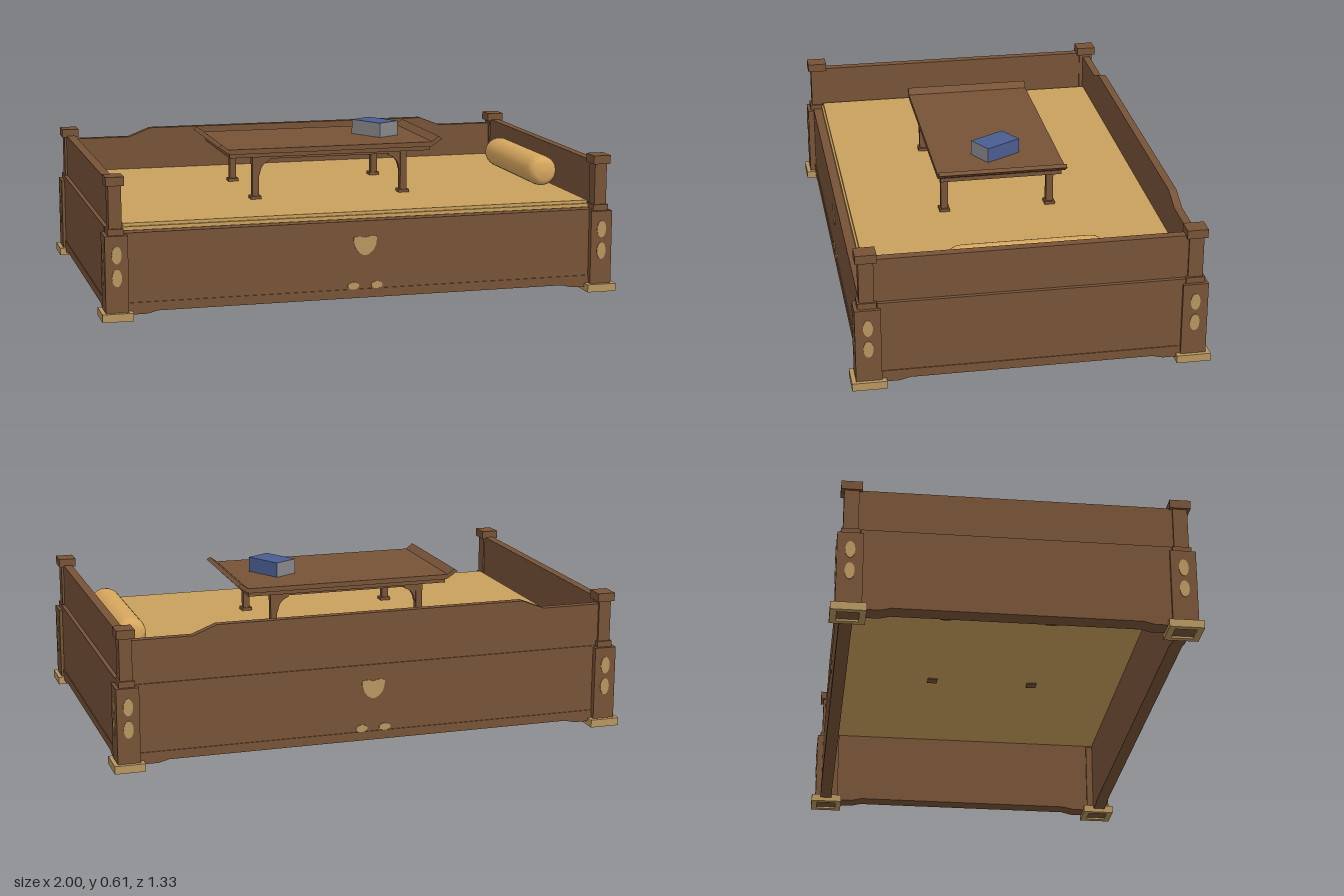
import * as THREE from 'three';

const mat = (name, color, double) => {
  const m = new THREE.MeshStandardMaterial({ color });
  m.name = name;
  if (double) m.side = THREE.DoubleSide;
  return m;
};

export function createModel() {
  const wood = mat('walnut wood', 0x775337);
  const brass = mat('pale brass', 0xb8965f);
  const cloth = mat('mat cloth', 0xc8a05c);
  const silk = mat('bolster silk', 0xd8a85f);
  const blue = mat('book cover blue', 0x4a5d90);
  const paper = mat('page grey', 0x88888b);

  const root = new THREE.Group();
  root.name = 'daybed';

  const add = (parent, name, geo, material) => {
    const m = new THREE.Mesh(geo, material);
    m.name = name;
    parent.add(m);
    return m;
  };
  // Box given by its min and max corners
  const box = (parent, name, material, x0, x1, y0, y1, z0, z1) => {
    const m = add(parent, name, new THREE.BoxGeometry(x1 - x0, y1 - y0, z1 - z0), material);
    m.position.set((x0 + x1) / 2, (y0 + y1) / 2, (z0 + z1) / 2);
    return m;
  };
  const poly = (pts) => new THREE.Shape(pts.map((p) => new THREE.Vector2(p[0], p[1])));
  const extrude = (shape, depth) => new THREE.ExtrudeGeometry(shape, { depth, bevelEnabled: false, curveSegments: 10 })
    .translate(0, 0, -depth / 2);
  // Thin oval inlay facing +z
  const ovalGeo = () => {
    const s = new THREE.Shape();
    s.absellipse(0, 0, 0.018, 0.033, 0, Math.PI * 2);
    return extrude(s, 0.006);
  };

  // Corner posts with brass shoes, caps and oval inlays
  for (const sx of [-1, 1]) for (const sz of [-1, 1]) {
    const post = new THREE.Group();
    post.name = 'cornerPost';
    post.position.set(sx * 0.9425, 0, sz * 0.602);
    root.add(post);

    const w = 0.0575, d = 0.064, hw = 0.036, hd = 0.04;
    const shoe = poly([[-w, -d], [w, -d], [w, d], [-w, d]]);
    shoe.holes.push(new THREE.Path([[-hw, -hd], [-hw, hd], [hw, hd], [hw, -hd]].map((p) => new THREE.Vector2(...p))));
    const shoeMesh = add(post, 'brassShoe', extrude(shoe, 0.03), brass);
    shoeMesh.rotation.x = -Math.PI / 2;
    shoeMesh.position.y = 0.015;

    box(post, 'lowerPost', wood, -0.0425, 0.0425, 0.008, 0.315, -0.0475, 0.0475);
    box(post, 'postCollar', wood, -0.03, 0.03, 0.315, 0.338, -0.035, 0.035);
    box(post, 'upperPost', wood, -0.024, 0.024, 0.338, 0.497, -0.0275, 0.0275);
    box(post, 'postCap', wood, -0.034, 0.034, 0.497, 0.53, -0.039, 0.039);

    for (const y of [0.245, 0.16]) {
      const a = add(post, 'endInlay', ovalGeo(), brass);
      a.position.set(0, y, sz * 0.0475);
      const b = add(post, 'sideInlay', ovalGeo(), brass);
      b.rotation.y = Math.PI / 2;
      b.position.set(sx * 0.0425, y, 0);
    }
  }

  // Shaped skirt strip that drops at its ends
  const skirt = (half, depth) => extrude(poly([
    [-half, 0.016], [-half + 0.07, 0.016], [-half + 0.11, 0.026], [half - 0.11, 0.026],
    [half - 0.07, 0.016], [half, 0.016], [half, 0.06], [-half, 0.06],
  ]), depth);

  // Shield inlay for the long rails
  const shield = new THREE.Shape();
  shield.moveTo(-0.045, 0.258);
  shield.quadraticCurveTo(-0.02, 0.265, 0, 0.256);
  shield.quadraticCurveTo(0.02, 0.265, 0.045, 0.258);
  shield.quadraticCurveTo(0.046, 0.2, 0, 0.188);
  shield.quadraticCurveTo(-0.046, 0.2, -0.045, 0.258);

  for (const s of [-1, 1]) {
    // Long rails
    box(root, 'longRail', wood, -0.91, 0.91, 0.055, 0.32, s * 0.603 - 0.022, s * 0.603 + 0.022);
    add(root, 'longSkirt', skirt(0.9, 0.048), wood).position.z = s * 0.605;
    add(root, 'shieldInlay', extrude(shield, 0.006), brass).position.z = s * 0.625;
    for (const x of [-0.046, 0.046]) {
      const leaf = add(root, 'leafInlay', ovalGeo(), brass);
      leaf.scale.set(1.25, 0.42, 1);
      leaf.position.set(x, 0.073, s * 0.626);
    }
    // Short rails and end boards
    box(root, 'endRail', wood, s * 0.941 - 0.032, s * 0.941 + 0.032, 0.055, 0.335, -0.565, 0.565);
    const end = add(root, 'endSkirt', skirt(0.56, 0.068), wood);
    end.rotation.y = Math.PI / 2;
    end.position.x = s * 0.942;
    box(root, 'endBoard', wood, s * 0.941 - 0.017, s * 0.941 + 0.017, 0.335, 0.503, -0.585, 0.585);
  }

  // Back board with raised middle
  const back = add(root, 'backBoard', extrude(poly([
    [-0.925, 0.32], [0.925, 0.32], [0.925, 0.485], [0.69, 0.485], [0.6, 0.52],
    [-0.6, 0.52], [-0.69, 0.485], [-0.925, 0.485],
  ]), 0.03), wood);
  back.position.z = -0.605;

  // Woven mat
  box(root, 'mat', cloth, -0.91, 0.91, 0.322, 0.336, -0.6, 0.59);
  box(root, 'matTop', cloth, -0.907, 0.907, 0.336, 0.348, -0.595, 0.582);

  // Round bolster
  const profile = [[0, -0.287], [0.035, -0.284], [0.05, -0.274], [0.058, -0.258], [0.061, -0.235]];
  const bolsterPts = [...profile, ...profile.map(([r, y]) => [r, -y]).reverse()]
    .map(([r, y]) => new THREE.Vector2(r, y));
  const bolster = add(root, 'bolster', new THREE.LatheGeometry(bolsterPts, 32), silk);
  bolster.rotation.x = Math.PI / 2;
  bolster.position.set(0.846, 0.412, 0.002);

  // Low table
  const table = new THREE.Group();
  table.name = 'lowTable';
  table.position.set(-0.03, 0, 0.011);
  root.add(table);
  add(table, 'tableTop', extrude(poly([
    [-0.405, 0.53], [0.405, 0.53], [0.42, 0.538], [0.452, 0.56], [0.438, 0.57], [0.41, 0.549],
    [-0.41, 0.549], [-0.438, 0.57], [-0.452, 0.56], [-0.42, 0.538],
  ]), 0.495), wood);
  box(table, 'tableFrame', wood, -0.405, 0.405, 0.514, 0.531, -0.235, 0.235);
  for (const sz of [-1, 1]) {
    box(table, 'tableApron', wood, -0.3, 0.3, 0.504, 0.515, sz * 0.208 - 0.01, sz * 0.208 + 0.01);
    for (const sx of [-1, 1]) {
      const leg = new THREE.Group();
      leg.name = 'tableLeg';
      leg.position.set(sx * 0.3, 0, sz * 0.208);
      root.add(leg);
      table.add(leg);
      box(leg, 'legPost', wood, -0.013, 0.013, 0.33, 0.515, -0.014, 0.014);
      box(leg, 'legFoot', wood, -0.021, 0.021, 0.318, 0.36, -0.02, 0.02);
      // Curved bracket towards the middle
      const b = new THREE.Shape();
      b.moveTo(0.01, 0.515);
      b.lineTo(0.01, 0.43);
      b.lineTo(0.018, 0.445);
      b.quadraticCurveTo(0.022, 0.485, 0.06, 0.498);
      b.lineTo(0.065, 0.515);
      const bracket = add(leg, 'legBracket', extrude(b, 0.02), wood);
      if (sx > 0) bracket.rotation.y = Math.PI;
    }
  }

  // Book: cover on the spine (+x), top and bottom, pages on the other sides
  const book = add(root, 'book', new THREE.BoxGeometry(0.103, 0.058, 0.157),
    [blue, paper, blue, blue, paper, paper]);
  book.position.set(0.216, 0.578, 0.008);
  book.rotation.y = Math.PI / 6;

  return root;
}
